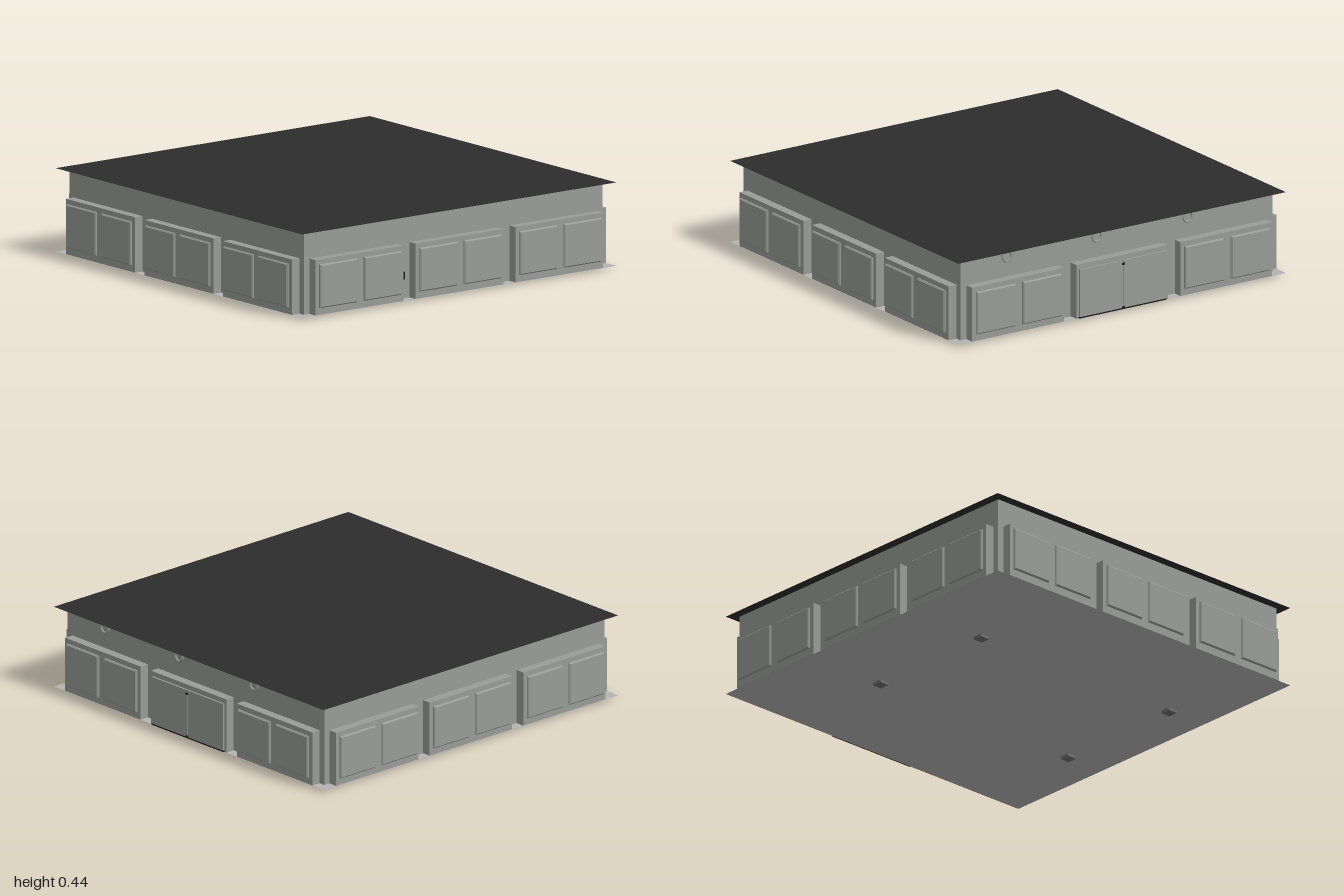
import * as THREE from 'three';

const WALL = 0.935, BOX = 0.983, FLOOR = 0.016, TOP = 0.435;

export function createModel() {
  const group = new THREE.Group();
  const mat = (name, color, side = THREE.FrontSide) => {
    const m = new THREE.MeshStandardMaterial({ color, side });
    m.name = name;
    return m;
  };
  const grey = mat('wallGrey', 0x999c99);
  const floorGrey = mat('floorGrey', 0xb4b4b4, THREE.DoubleSide);
  const roofDark = mat('roofDark', 0x2d2d2d, THREE.DoubleSide);
  const black = mat('black', 0x1a1a1a);
  const footGrey = mat('footGrey', 0x707070);

  const add = (parent, name, geometry, material, x = 0, y = 0, z = 0) => {
    const mesh = new THREE.Mesh(geometry, material);
    mesh.name = name;
    mesh.position.set(x, y, z);
    parent.add(mesh);
    return mesh;
  };
  // Box given by its limits on each axis
  const block = (parent, name, material, x0, x1, y0, y1, z0, z1) =>
    add(parent, name, new THREE.BoxGeometry(x1 - x0, y1 - y0, z1 - z0), material,
      (x0 + x1) / 2, (y0 + y1) / 2, (z0 + z1) / 2);

  // Raised panel with chamfered rim, back at z = 0
  const panelGeometry = (w, h) => {
    const c = 0.006, a = w / 2 - c, b = h / 2 - c;
    const shape = new THREE.Shape([
      new THREE.Vector2(-a, -b), new THREE.Vector2(a, -b),
      new THREE.Vector2(a, b), new THREE.Vector2(-a, b),
    ]);
    const g = new THREE.ExtrudeGeometry(shape, {
      depth: 0.005, bevelEnabled: true, bevelThickness: c, bevelSize: c, bevelSegments: 1,
    });
    return g.translate(0, 0, c);
  };
  const windowPanel = panelGeometry(0.234, 0.22);

  // Main shell, roof sheet and floor sheet
  block(group, 'walls', grey, -WALL, WALL, FLOOR, TOP - 0.002, -WALL, WALL);
  const sheet = new THREE.PlaneGeometry(1.966, 1.966).rotateX(-Math.PI / 2);
  add(group, 'roof', sheet, roofDark, 0, TOP, 0);
  add(group, 'floor', sheet, floorGrey, 0, FLOOR - 0.001, 0);

  // Four sides, each with three bays; the left side has a double door in its middle bay
  ['front', 'left', 'back', 'right'].forEach((name, i) => {
    const side = new THREE.Group();
    side.name = name + 'Side';
    side.rotation.y = i * Math.PI / 2;
    group.add(side);
    for (const cx of [-0.625, 0, 0.625]) {
      block(side, 'bay', grey, cx - 0.275, cx + 0.275, FLOOR, 0.295, WALL - 0.01, BOX);
      if (name === 'left' && cx === 0) continue;
      for (const s of [-1, 1]) {
        add(side, 'panel', windowPanel, grey, cx + s * 0.139, 0.162, BOX - 0.001);
      }
    }
    if (name === 'left') addDoor(side);
  });

  function addDoor(side) {
    for (const s of [-1, 1]) {
      block(side, 'doorLeaf', grey, s * 0.131 - 0.129, s * 0.131 + 0.129, 0.024, 0.27, BOX - 0.001, 0.993);
    }
    block(side, 'doorSeam', black, -0.002, 0.002, 0.02, 0.27, BOX, 0.989);
    block(side, 'doorSill', black, -0.262, 0.262, FLOOR, 0.024, BOX - 0.001, 0.99);
    for (const y of [0.027, 0.253]) {
      block(side, 'doorLatch', black, -0.007, 0.007, y - 0.005, y + 0.005, 0.99, 0.998);
    }
    // Round vents under the eaves
    for (const x of [-0.66, -0.12, 0.425]) {
      const vent = new THREE.Group();
      vent.name = 'roundVent';
      vent.position.set(x, 0.402, WALL);
      side.add(vent);
      add(vent, 'ventRing', new THREE.TorusGeometry(0.026, 0.006, 8, 24), grey, 0, 0, 0.003);
    }
  }

  // Key pad on the front wall between two bays
  block(group, 'keyPad', black, -0.322, -0.308, 0.113, 0.15, WALL - 0.001, WALL + 0.008);

  // Feet
  for (const x of [-0.363, 0.365]) {
    for (const z of [-0.517, 0.745]) {
      block(group, 'foot', footGrey, x - 0.027, x + 0.027, 0, FLOOR - 0.002, z - 0.027, z + 0.027);
    }
  }
  return group;
}
